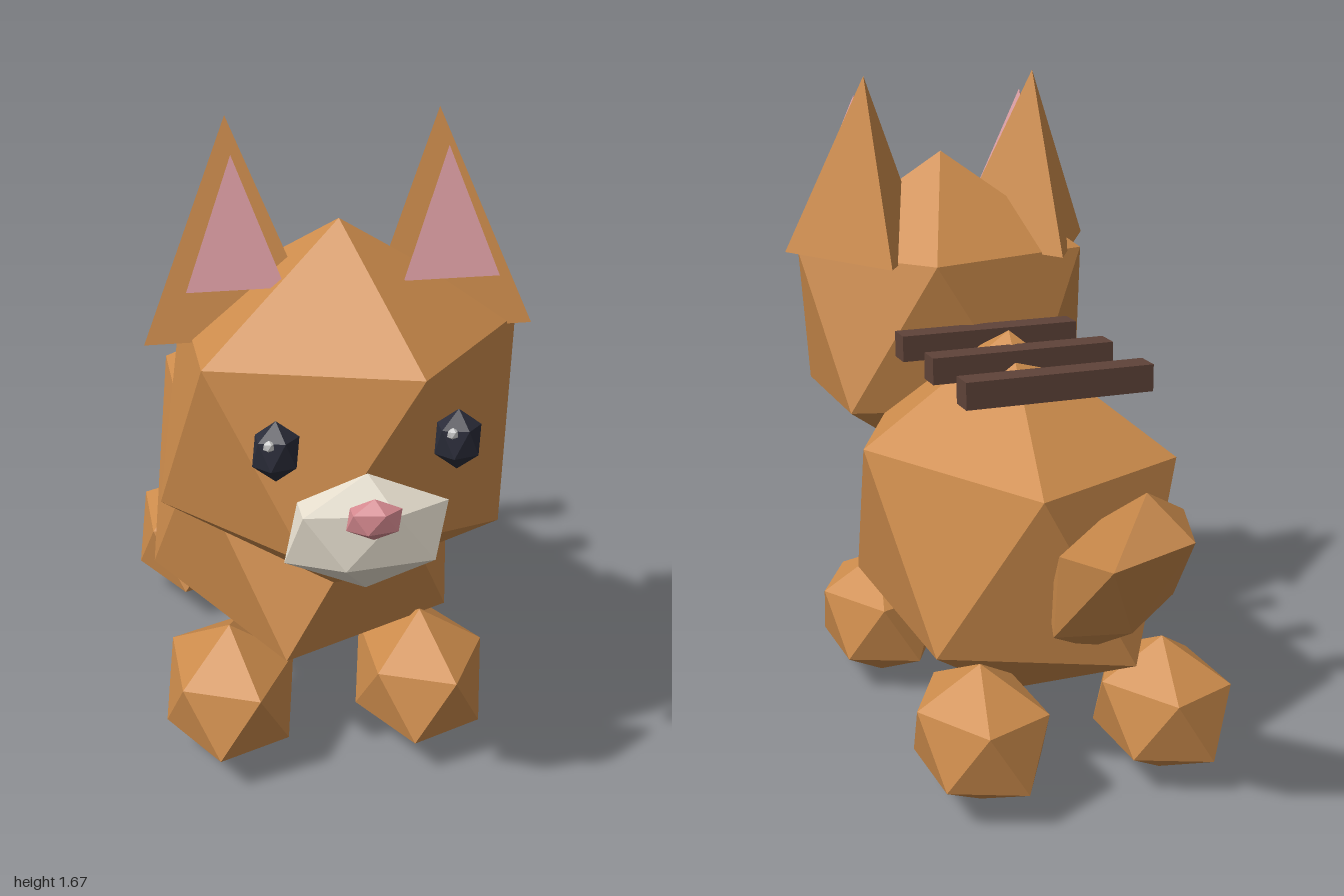
import * as THREE from 'three';

const material = (color) => {
  const m = new THREE.MeshStandardMaterial({ flatShading: true });
  m.color.set(color);
  return m;
};

export function createModel() {
  const model = new THREE.Group();
  model.name = 'puppy';

  const fur = material(0xcd8c4c);
  const cream = material(0xe6dece);
  const pink = material(0xe0a0a6);
  const nosePink = material(0xd68a90);
  const dark = material(0x2b2d3a);
  const white = material(0xffffff);
  const brown = material(0x5f4339);

  const add = (name, geometry, mat, x, y, z) => {
    const mesh = new THREE.Mesh(geometry, mat);
    mesh.name = name;
    mesh.position.set(x, y, z);
    model.add(mesh);
    return mesh;
  };

  // Stretched icosahedron standing on one vertex
  const tilt = -Math.atan(2 / (1 + Math.sqrt(5)));
  const blob = (name, mat, [x, y, z], [rx, ry, rz]) =>
    add(name, new THREE.IcosahedronGeometry(1).rotateZ(tilt).scale(rx, ry, rz), mat, x, y, z);

  // Three-sided cone with its flat side to the front
  const ear = (name, mat, x, y, z, r, h) =>
    add(name, new THREE.ConeGeometry(r, h, 3).rotateY(Math.PI), mat, x, y, z);

  // Body, head and tail
  blob('body', fur, [0, 0.57, 0], [0.44, 0.5, 0.645]);
  blob('head', fur, [0, 1, 0.53], [0.46, 0.46, 0.4]);
  blob('tail', fur, [0, 0.65, -0.69], [0.14, 0.14, 0.42]).rotation.x = 0.7;

  // Face
  blob('muzzle', cream, [0, 0.873, 0.89], [0.2, 0.138, 0.073]);
  blob('nose', nosePink, [0, 0.942, 0.969], [0.067, 0.048, 0.036]);

  for (const [side, s] of [['left', 1], ['right', -1]]) {
    // Ears
    ear(`${side}Ear`, fur, s * 0.24, 1.44, 0.45, 0.23, 0.48);
    ear(`${side}InnerEar`, pink, s * 0.24, 1.477, 0.548, 0.125, 0.285);

    // Eyes with a small glint
    blob(`${side}Eye`, dark, [s * 0.195, 1.075, 0.885], [0.056, 0.07, 0.043]);
    blob(`${side}EyeGlint`, white, [s * 0.195 - 0.018, 1.1, 0.912], [0.014, 0.014, 0.01]);

    // Paws
    blob(`${side}FrontPaw`, fur, [s * 0.242, 0.185, 0.39], [0.18, 0.18, 0.24]);
    blob(`${side}BackPaw`, fur, [s * 0.242, 0.185, -0.44], [0.18, 0.18, 0.24]);
  }

  // Stripes across the back
  for (let i = 0; i < 3; i++) {
    add(`backStripe${i + 1}`, new THREE.BoxGeometry(0.485, 0.068, 0.068), brown, 0, 1.01, 0.165 - i * 0.243);
  }

  return model;
}
